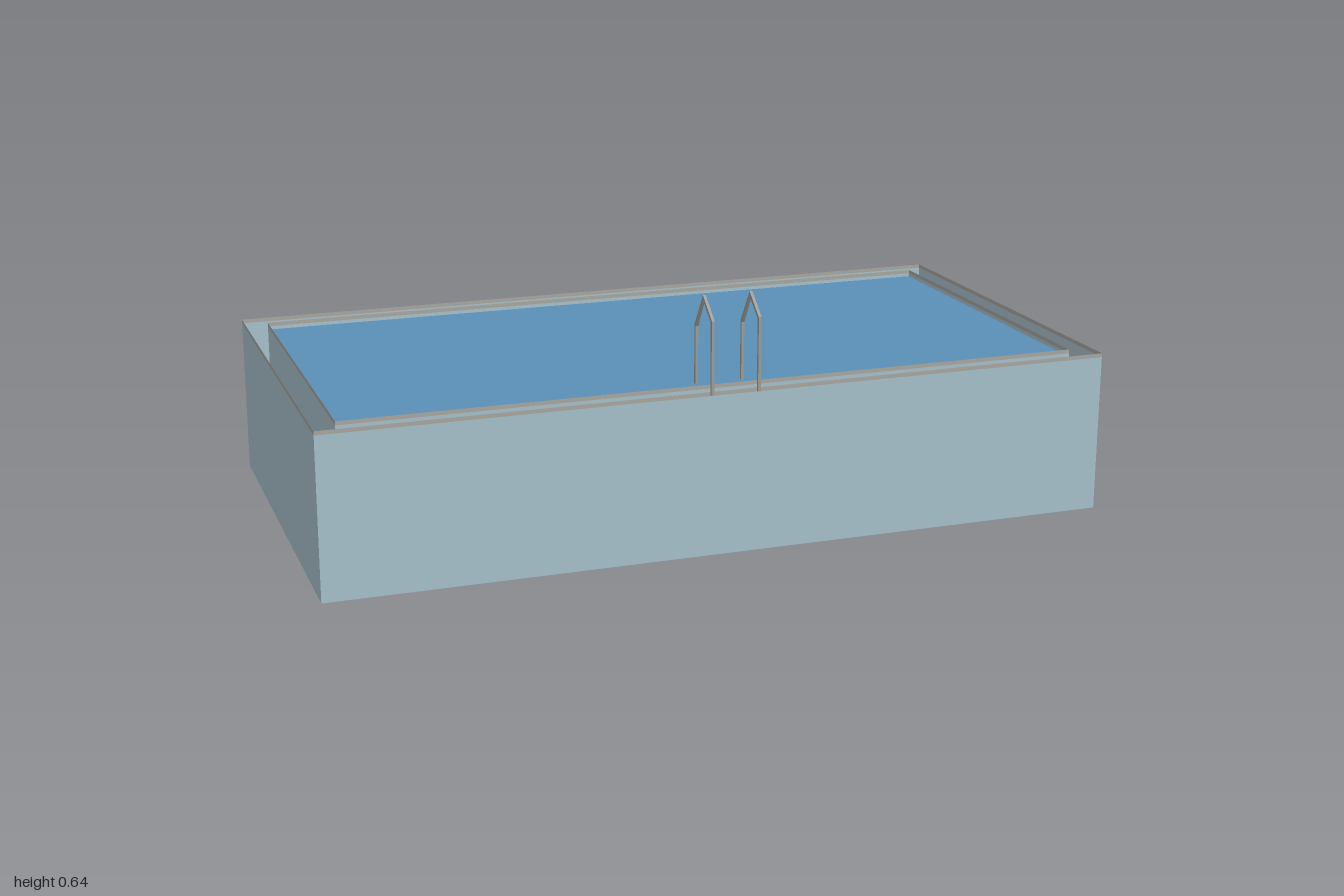
import * as THREE from 'three';
import { mergeGeometries } from 'three/addons/utils/BufferGeometryUtils.js';

const mat = (name, color) => {
  const m = new THREE.MeshStandardMaterial({ color, side: THREE.DoubleSide });
  m.name = name;
  return m;
};

// Footprints as half width, back z and front z
const OUTER = { x: 1, z0: -0.54, z1: 0.515 };
const INNER = { x: 0.94, z0: -0.485, z1: 0.455 };
const RIM_BOTTOM = 0.402, TOP = 0.412, WATER = 0.393;

// Four upright sheets around a footprint, open above and below
function ring({ x, z0, z1 }, y0, y1) {
  const h = y1 - y0, y = (y0 + y1) / 2, d = z1 - z0, zc = (z0 + z1) / 2;
  return mergeGeometries([
    new THREE.PlaneGeometry(2 * x, h).translate(0, y, z1),
    new THREE.PlaneGeometry(2 * x, h).rotateY(Math.PI).translate(0, y, z0),
    new THREE.PlaneGeometry(d, h).rotateY(Math.PI / 2).translate(x, y, zc),
    new THREE.PlaneGeometry(d, h).rotateY(-Math.PI / 2).translate(-x, y, zc),
  ]);
}

// Level sheet filling a footprint; dir 1 faces up, -1 faces down
function sheet({ x, z0, z1 }, y, dir) {
  return new THREE.PlaneGeometry(2 * x, z1 - z0)
    .rotateX(-dir * Math.PI / 2).translate(0, y, (z0 + z1) / 2);
}

export function createModel() {
  const group = new THREE.Group();
  const wall = mat('paleBlueWall', 0xa5bfc9);
  const stone = mat('greyRim', 0xa6a49d);
  const metal = mat('railMetal', 0x9c9a93);
  const water = mat('waterBlue', 0x5a8fb7);

  const add = (name, geometry, material) => {
    const mesh = new THREE.Mesh(geometry, material);
    mesh.name = name;
    group.add(mesh);
    return mesh;
  };

  // Shell, basin and the coping bands along their tops
  add('outerWall', ring(OUTER, 0, RIM_BOTTOM), wall);
  add('basinWall', ring(INNER, 0, RIM_BOTTOM), wall);
  add('basinFloor', sheet(INNER, 0, -1), wall);
  add('outerRim', ring(OUTER, RIM_BOTTOM, TOP), stone);
  add('innerRim', ring(INNER, RIM_BOTTOM, TOP), stone);
  add('waterSurface', sheet(INNER, WATER, 1), water);

  // Bent ladder handrails: outline in z and y, thin along x
  const outline = [
    [0.542, 0.41], [0.542, 0.592], [0.48, 0.641], [0.423, 0.556], [0.423, 0.41],
    [0.431, 0.41], [0.431, 0.553], [0.478, 0.63], [0.534, 0.587], [0.534, 0.41],
  ].map(([z, y]) => new THREE.Vector2(z, y));
  const rail = new THREE.ExtrudeGeometry(new THREE.Shape(outline), { depth: 0.007, bevelEnabled: false })
    .translate(0, 0, -0.0035).rotateY(-Math.PI / 2);
  for (const side of [-1, 1]) {
    add(side > 0 ? 'leftHandrail' : 'rightHandrail', rail, metal).position.x = side * 0.059;
  }
  return group;
}
